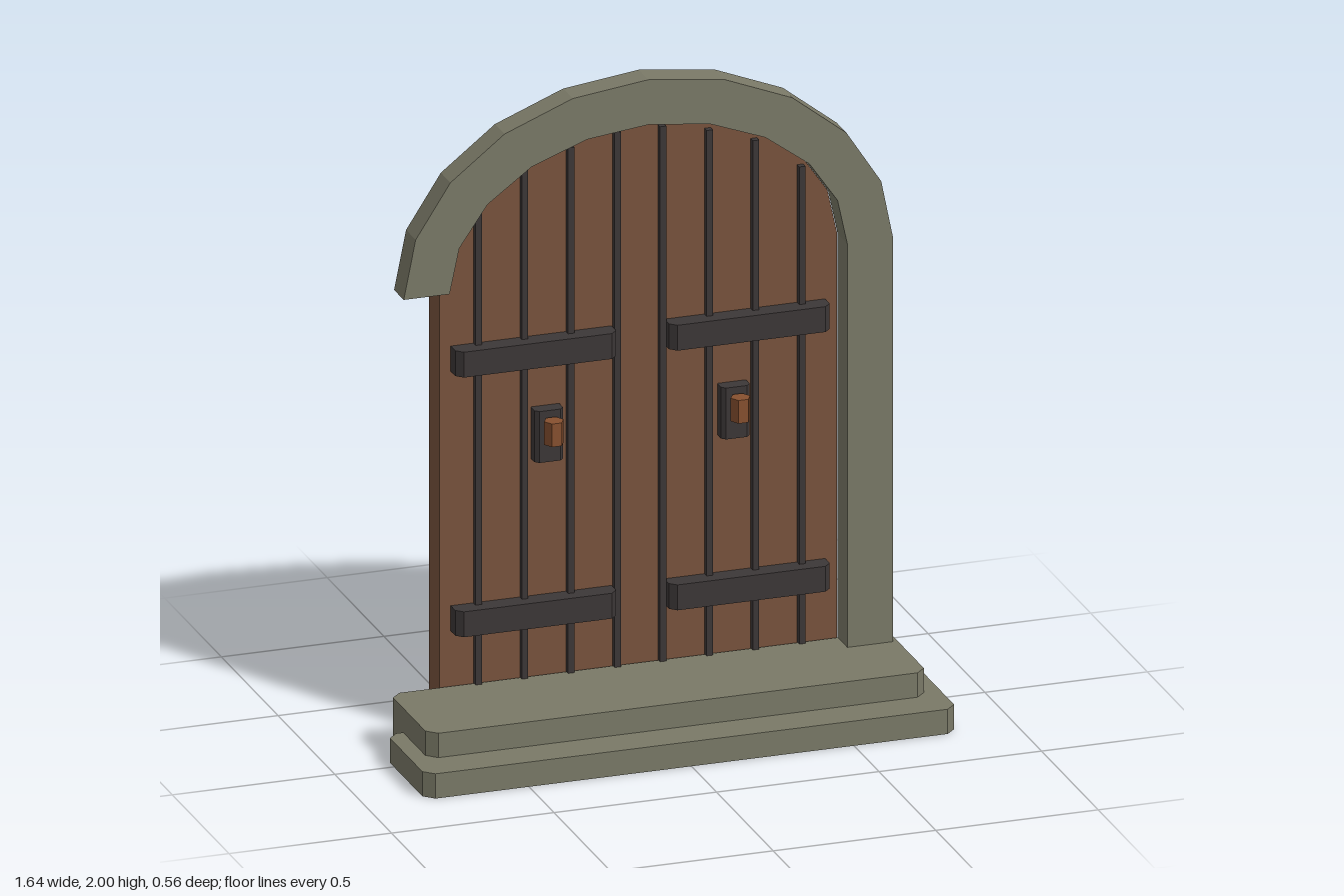
import * as THREE from 'three';

const material = (name, color) => {
  const m = new THREE.MeshStandardMaterial({ color, flatShading: true });
  m.name = name;
  return m;
};

// Points along a ten-sided half ellipse, running from +x over the top to -x
const ARCH_BASE = 1.41;
function archPoints(rx, ry) {
  const pts = [];
  for (let i = 0; i <= 10; i++) {
    const a = (i / 10) * Math.PI;
    pts.push(new THREE.Vector2(rx * Math.cos(a), ARCH_BASE + ry * Math.sin(a)));
  }
  return pts;
}

// Outline pushed from z = back to z = front
function slab(points, back, front) {
  const geo = new THREE.ExtrudeGeometry(new THREE.Shape(points), { depth: front - back, bevelEnabled: false });
  return geo.translate(0, 0, back);
}

// Box with its four vertical edges cut off
function cutBox(x0, x1, y0, y1, z0, z1, c) {
  const outline = [
    [x0 + c, -z1], [x1 - c, -z1], [x1, -z1 + c], [x1, -z0 - c],
    [x1 - c, -z0], [x0 + c, -z0], [x0, -z0 - c], [x0, -z1 + c],
  ].map(([x, y]) => new THREE.Vector2(x, y));
  const geo = new THREE.ExtrudeGeometry(new THREE.Shape(outline), { depth: y1 - y0, bevelEnabled: false });
  return geo.rotateX(-Math.PI / 2).translate(0, y0, 0);
}

export function createModel() {
  const group = new THREE.Group();
  group.name = 'archedDoorway';
  const stone = material('stone', 0x7a7967);
  const wood = material('wood', 0x78533d);
  const iron = material('iron', 0x3c3737);
  const copper = material('copper', 0x87502f);

  const add = (name, geo, mat) => {
    const mesh = new THREE.Mesh(geo, mat);
    mesh.name = name;
    group.add(mesh);
  };

  // Two stone steps
  add('lowerStep', cutBox(-0.818, 0.818, 0, 0.077, -0.065, 0.28, 0.03), stone);
  add('upperStep', cutBox(-0.767, 0.767, 0, 0.153, -0.184, 0.16, 0.03), stone);

  // Stone arch with a single post on the left
  const frame = [
    new THREE.Vector2(0.752, 0.13),
    ...archPoints(0.753, 0.59),
    ...archPoints(0.612, 0.45).reverse(),
    new THREE.Vector2(0.612, 0.13),
  ];
  add('archFrame', slab(frame, -0.185, -0.1), stone);

  // Arched wooden door
  const door = [
    new THREE.Vector2(-0.612, 0.11),
    new THREE.Vector2(0.612, 0.11),
    ...archPoints(0.612, 0.45),
  ];
  add('door', slab(door, -0.282, -0.19), wood);

  // Hardware, mirrored on both leaves
  const seams = [[0.07, 1.82], [0.213, 1.79], [0.355, 1.74], [0.498, 1.64]];
  for (const s of [-1, 1]) {
    const side = s > 0 ? 'left' : 'right';

    // Dark strips between the planks
    for (const [x, top] of seams) {
      const strip = new THREE.BoxGeometry(0.019, top - 0.12, 0.022);
      add(side + 'PlankSeam', strip.translate(s * x, (top + 0.12) / 2, -0.181), iron);
    }

    // Iron straps
    const xa = s > 0 ? 0.08 : -0.577;
    for (const y of [0.323, 1.132]) {
      add(side + 'Strap', cutBox(xa, xa + 0.495, y, y + 0.079, -0.21, -0.13, 0.02), iron);
    }

    // Handle plate and six-sided grip
    const hx = s * 0.287;
    add(side + 'HandlePlate', cutBox(hx - 0.044, hx + 0.044, 0.83, 0.99, -0.2, -0.145, 0.012), iron);
    const grip = new THREE.CylinderGeometry(0.03, 0.03, 0.072, 6);
    grip.rotateY(Math.PI / 6).translate(hx, 0.935, -0.111);
    add(side + 'HandleGrip', grip, copper);
  }

  return group;
}
